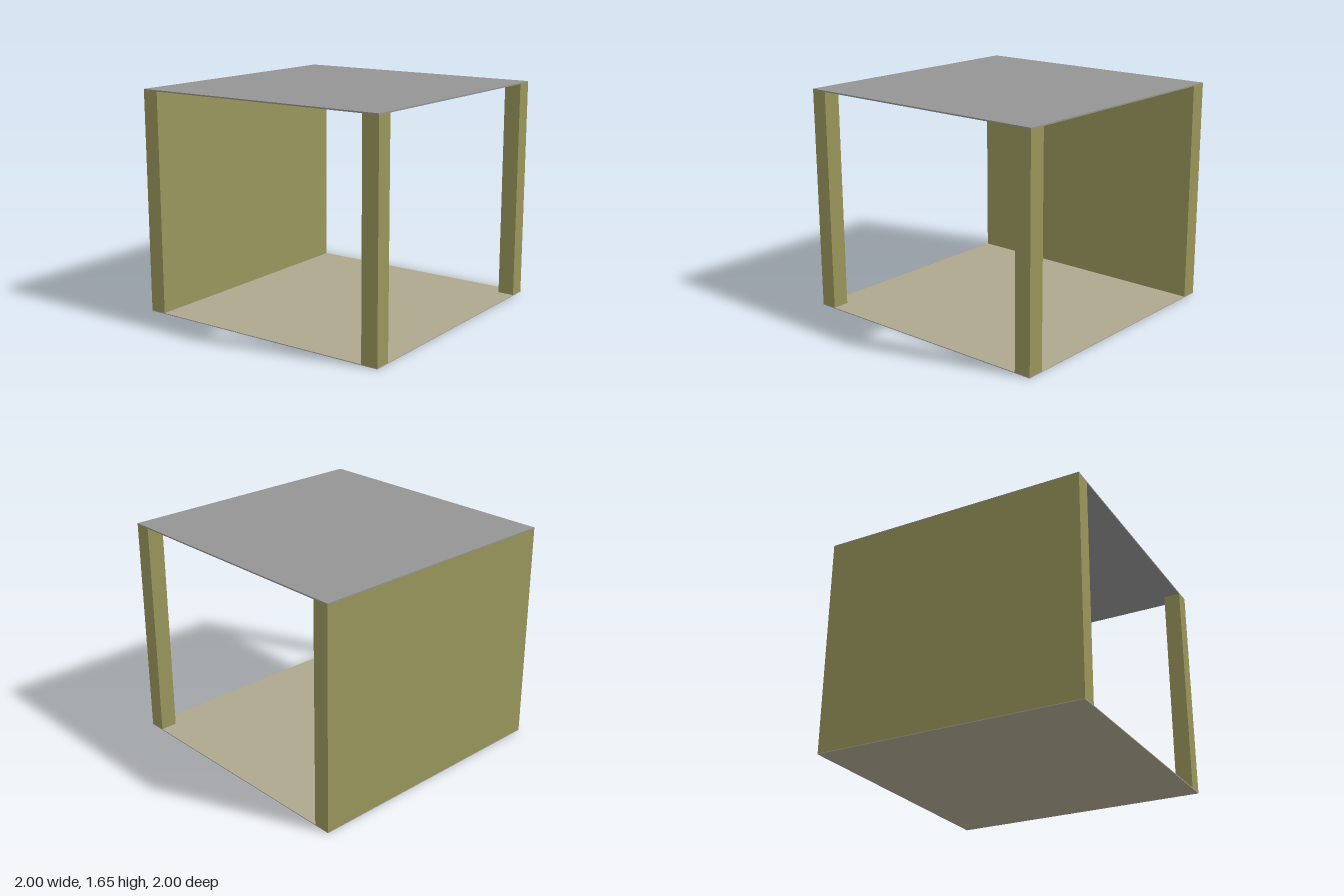
import * as THREE from 'three';

const material = (name, color) => {
  const m = new THREE.MeshStandardMaterial({ color });
  m.name = name;
  return m;
};

export function createModel() {
  const group = new THREE.Group();
  group.name = 'openRoom';

  const olive = material('olive wall', 0x99965b);
  const grey = material('roof grey', 0x949494);
  const beige = material('floor beige', 0xaea78e);
  const pale = material('pale panel', 0xc6c6c6);

  // Box given by its lower and upper corners
  const slab = (name, mat, [x0, y0, z0], [x1, y1, z1]) => {
    const mesh = new THREE.Mesh(new THREE.BoxGeometry(x1 - x0, y1 - y0, z1 - z0), mat);
    mesh.position.set((x0 + x1) / 2, (y0 + y1) / 2, (z0 + z1) / 2);
    mesh.name = name;
    group.add(mesh);
  };

  const floorTop = 0.006, roofBottom = 1.636, roofTop = 1.646, inner = 0.875;

  // Floor and roof
  slab('floor', beige, [-1, 0, -1], [1, floorTop, 1]);
  slab('roof', grey, [-1, roofBottom, -1], [1, roofTop, 1]);

  // Solid back wall and two front corner posts
  slab('backWall', olive, [-1, floorTop, -1], [1, roofBottom, -inner]);
  slab('rightPost', olive, [-1, floorTop, inner], [-inner, roofBottom, 1]);
  slab('leftPost', olive, [inner, floorTop, inner], [1, roofBottom, 1]);

  // Flat panel under the ceiling, slightly off centre
  slab('ceilingPanel', pale, [-0.125, 1.62, -0.25], [0.25, roofBottom, 0.375]);

  return group;
}
